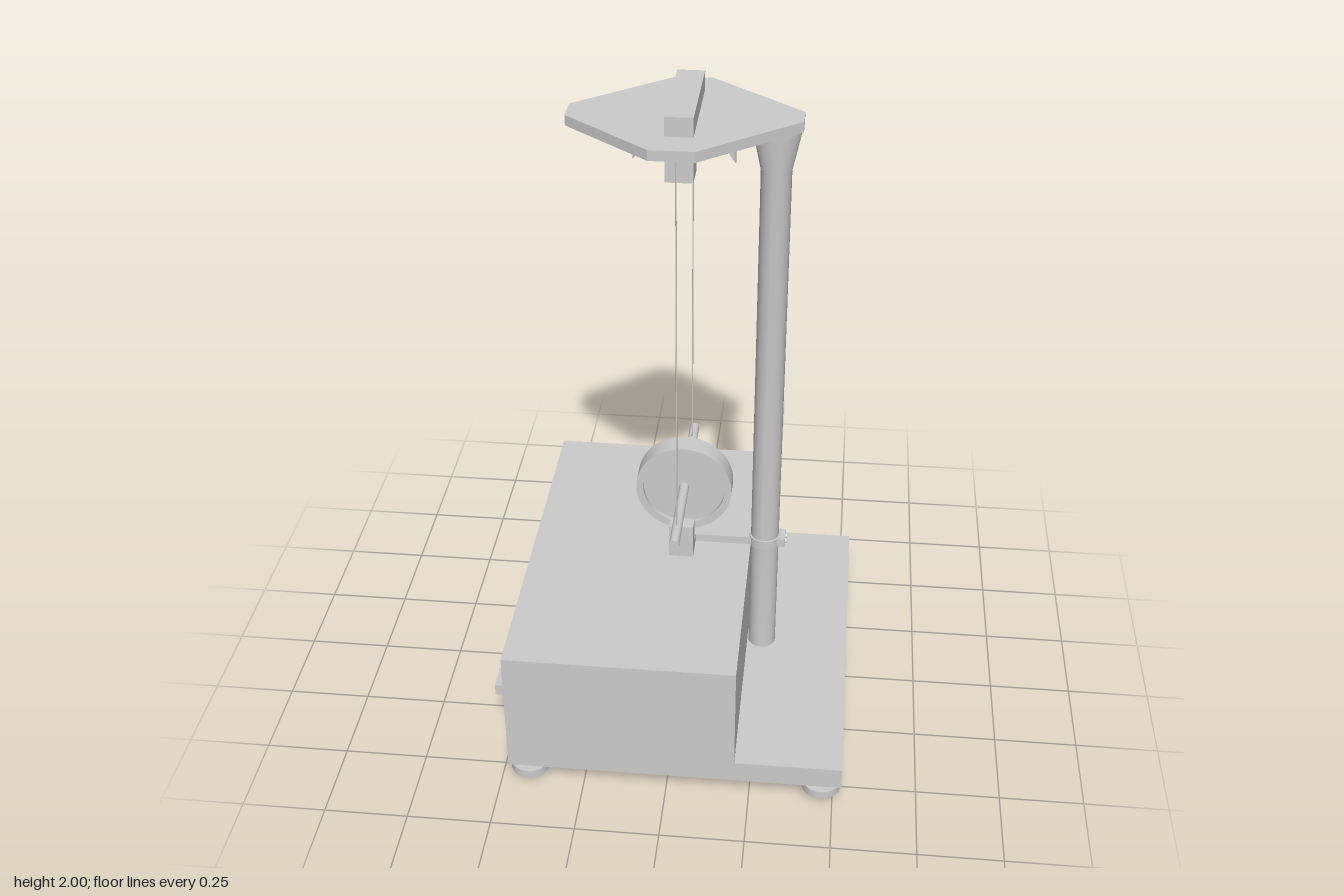
import * as THREE from 'three';
import { toCreasedNormals } from 'three/addons/utils/BufferGeometryUtils.js';

const grey = new THREE.MeshStandardMaterial({ color: 0xcccccc, side: THREE.DoubleSide });

export function createModel() {
  const root = new THREE.Group();

  const add = (name, geo, x = 0, y = 0, z = 0) => {
    const mesh = new THREE.Mesh(geo, grey);
    mesh.name = name;
    mesh.position.set(x, y, z);
    root.add(mesh);
    return mesh;
  };
  // box given by its extents on each axis
  const box = (name, x0, x1, y0, y1, z0, z1) =>
    add(name, new THREE.BoxGeometry(x1 - x0, y1 - y0, z1 - z0),
      (x0 + x1) / 2, (y0 + y1) / 2, (z0 + z1) / 2);
  // sharp-edged turned part
  const turned = (pts, seg = 40) => toCreasedNormals(
    new THREE.LatheGeometry(pts.map(([r, y]) => new THREE.Vector2(r, y)), seg), 0.5);

  // base plate and instrument housing
  box('basePlate', -0.475, 0.525, 0.07, 0.14, -0.58, 0.577);
  box('housing', -0.475, 0.206, 0.14, 0.48, -0.575, 0.577);

  // levelling feet
  const footGeo = turned([[0, 0.012], [0.014, 0.012], [0.026, 0], [0.026, 0.022], [0.058, 0.022],
    [0.058, 0.048], [0.026, 0.048], [0.026, 0.07], [0, 0.07]]);
  for (const x of [-0.418, 0.465])
    for (const z of [-0.52, 0.52]) add('foot', footGeo, x, 0, z);

  // panel: display, buttons, switch
  box('display', -0.485, -0.475, 0.29, 0.385, -0.158, 0.288);
  box('button', -0.515, -0.475, 0.237, 0.268, -0.44, -0.38);
  box('button', -0.515, -0.475, 0.237, 0.268, -0.355, -0.297);
  box('switch', -0.528, -0.475, 0.235, 0.27, 0.372, 0.454);

  // column with flared head
  add('column', turned([[0, 0.14], [0.043, 0.14], [0.043, 1.79], [0.066, 1.9], [0.066, 1.917], [0, 1.917]]),
    0.252, 0, 0);

  // eight-sided top plate
  const outline = [[-0.317, -0.03], [-0.317, 0.05], [-0.07, 0.258], [0.054, 0.258],
    [0.323, 0.033], [0.323, -0.035], [0.057, -0.257], [-0.047, -0.257]];
  const plate = new THREE.Shape(outline.map(([x, z]) => new THREE.Vector2(x, -z)));
  const plateGeo = new THREE.ExtrudeGeometry(plate, { depth: 0.03, bevelEnabled: false });
  plateGeo.rotateX(-Math.PI / 2);
  add('topPlate', plateGeo, 0, 1.915, 0);

  // bar on the plate with two blocks hanging below it
  box('topBar', -0.036, 0.041, 1.945, 2, -0.168, 0.168);
  for (const s of [-1, 1])
    add('hangingBlock', new THREE.BoxGeometry(0.077, 0.1, 0.08), 0.0025, 1.865, s * 0.128);

  // pegs with slanted tips, mirrored left and right
  for (const s of [-1, 1]) {
    add('pegCollar', toCreasedNormals(new THREE.CylinderGeometry(0.031, 0.031, 0.028, 28), 0.5), s * 0.13, 1.901, 0);
    const pin = new THREE.CylinderGeometry(0.012, 0.012, 0.08, 20);
    const p = pin.attributes.position;
    for (let i = 0; i < p.count; i++)
      if (p.getY(i) < 0) p.setY(i, -0.064 - s * p.getX(i) * 1.6);
    add('pegPin', toCreasedNormals(pin, 0.5), s * 0.13, 1.888, 0);
  }

  // threads
  for (const z of [-0.24, 0.24])
    add('thread', new THREE.CylinderGeometry(0.002, 0.002, 1.18, 8), 0.002, 1.325, z);

  // rimmed wheel on its axle
  const wheelGeo = turned([[0, -0.02], [0.124, -0.02], [0.124, -0.035], [0.146, -0.035],
    [0.146, 0.035], [0.124, 0.035], [0.124, 0.02], [0, 0.02]], 56).rotateX(Math.PI / 2);
  add('wheel', wheelGeo, 0.002, 0.735, 0);
  add('axle', toCreasedNormals(new THREE.CylinderGeometry(0.015, 0.015, 0.636, 24).rotateX(Math.PI / 2), 0.5),
    0.002, 0.735, 0);

  // forked sensor beneath the wheel
  for (const s of [-1, 1])
    add('sensorBlock', new THREE.BoxGeometry(0.074, 0.11, 0.048), 0, 0.585, s * 0.076);
  box('sensorBridge', -0.037, 0.037, 0.53, 0.56, -0.055, 0.055);

  // arm and clamp on the column
  box('sensorArm', 0.037, 0.22, 0.535, 0.56, -0.025, 0.025);
  add('clampRing', toCreasedNormals(new THREE.CylinderGeometry(0.049, 0.049, 0.03, 32), 0.5), 0.252, 0.548, 0);
  box('clampTab', 0.285, 0.316, 0.534, 0.562, -0.028, 0.028);
  for (const z of [-0.012, 0.012])
    add('clampScrew', new THREE.CylinderGeometry(0.009, 0.009, 0.006, 16).rotateZ(Math.PI / 2), 0.317, 0.548, z);

  return root;
}
